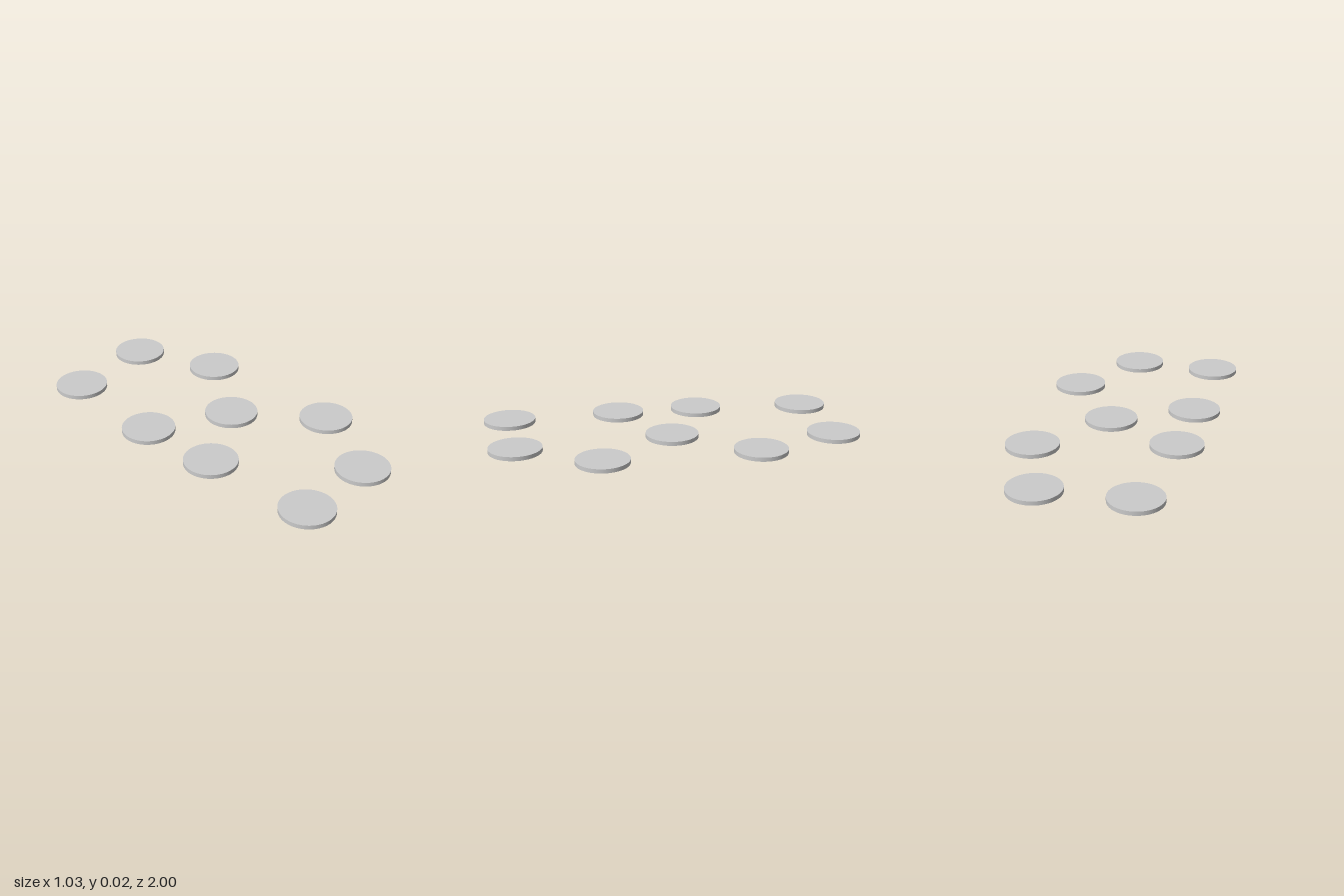
import * as THREE from 'three';

const RADIUS = 0.141;
const HEIGHT = 0.022;

// Centre of each disc on the ground, as [x, z]
const CENTRES = [
  [-0.346, -0.795], [0.139, -0.859], [0.33, -0.423],
  [-0.373, -0.193], [0.049, 0.001], [-0.346, 0.253],
  [0.371, 0.396], [-0.297, 0.859], [0.15, 0.83],
];

export function createModel() {
  const group = new THREE.Group();
  group.name = 'scatteredDiscs';
  const material = new THREE.MeshStandardMaterial({ color: 0xcccccc });

  // One flat round disc, shared by all, resting on the ground
  const geometry = new THREE.CylinderGeometry(RADIUS, RADIUS, HEIGHT, 64);
  geometry.translate(0, HEIGHT / 2, 0);

  CENTRES.forEach(([x, z], i) => {
    const disc = new THREE.Mesh(geometry, material);
    disc.name = `disc${i + 1}`;
    disc.position.set(x, 0, z);
    group.add(disc);
  });
  return group;
}
